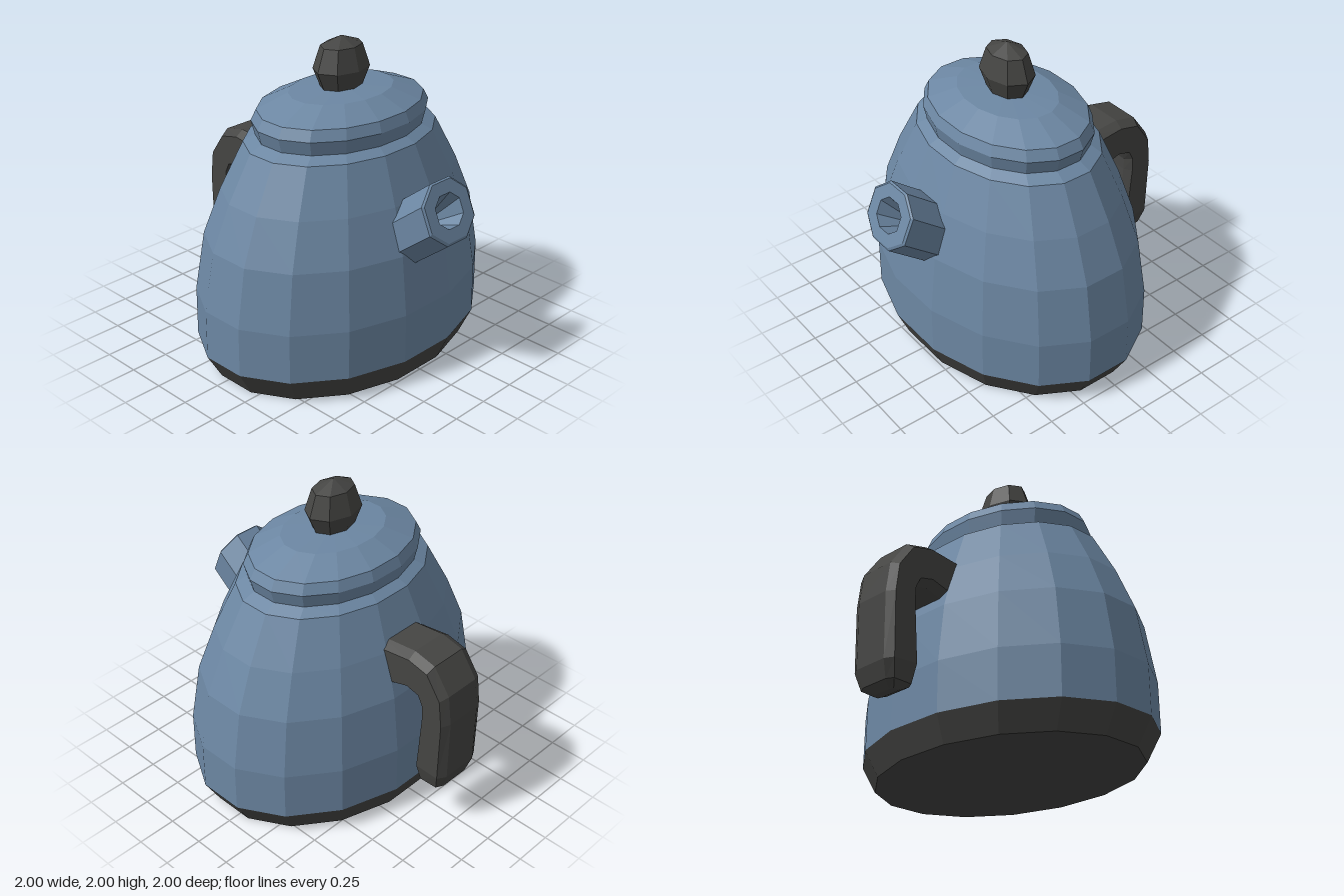
import * as THREE from 'three';

const blue = new THREE.MeshStandardMaterial({ color: 0x6c87a3, flatShading: true });
const dark = new THREE.MeshStandardMaterial({ color: 0x454543, flatShading: true });
const CX = 0.065; // centre of the oval pot

function addMesh(group, name, geometry, material) {
  const mesh = new THREE.Mesh(geometry, material);
  mesh.name = name;
  group.add(mesh);
  return mesh;
}

// Oval turned part: profile of [radius, height], then squashed in x
function oval(profile, sides, phi, sx, sz) {
  const pts = profile.map(([r, y]) => new THREE.Vector2(r, y));
  return new THREE.LatheGeometry(pts, sides, phi).scale(sx, 1, sz).translate(CX, 0, 0);
}

// Skin over equal rings of points (counter-clockwise about the path), closed at the far end
function loft(rings) {
  const n = rings[0].length, pos = rings.flat(2), index = [];
  for (let i = 0; i < rings.length - 1; i++) {
    for (let j = 0; j < n; j++) {
      const a = i * n + j, b = i * n + (j + 1) % n;
      index.push(a, b, b + n, a, b + n, a + n);
    }
  }
  const last = rings[rings.length - 1], start = (rings.length - 1) * n;
  pos.push(...[0, 1, 2].map(k => last.reduce((s, p) => s + p[k], 0) / n));
  for (let j = 0; j < n; j++) index.push(start + j, start + (j + 1) % n, rings.length * n);
  const g = new THREE.BufferGeometry();
  g.setAttribute('position', new THREE.Float32BufferAttribute(pos, 3));
  g.setIndex(index);
  g.computeVertexNormals();
  return g;
}

// Chamfered section in units of half height and half width
function octagon(cu, cv) {
  return [[1, -cv], [1, cv], [cu, 1], [-cu, 1], [-1, cv], [-1, -cv], [-cu, -1], [cu, -1]];
}

export function createModel() {
  const group = new THREE.Group();
  group.name = 'teapot';

  // Sixteen-sided oval pot, with flats facing the axes
  const k = 1 / Math.cos(Math.PI / 16);
  const pot = profile => oval(profile, 16, Math.PI / 16, 0.735 * k, k);
  addMesh(group, 'base', pot([[0, 0], [0.905, 0], [1, 0.165]]), dark);
  addMesh(group, 'body', pot([
    [1, 0.165], [0.997, 0.48], [0.93, 0.85], [0.81, 1.13], [0.655, 1.41], [0.57, 1.45], [0, 1.45],
  ]), blue);
  addMesh(group, 'lid', pot([
    [0.575, 1.445], [0.6, 1.535], [0.565, 1.6], [0.355, 1.68], [0, 1.7],
  ]), blue);

  // Faceted knob
  addMesh(group, 'knob', oval([
    [0, 1.67], [0.72, 1.68], [1, 1.805], [0.74, 1.945], [0, 2],
  ], 8, 0, 0.145, 0.197), dark);

  // Handle: outer x, y, inner x, y, half width
  const handleSections = [
    [-0.45, 1.19, -0.45, 0.87, 0.175],
    [-0.71, 1.215, -0.7, 0.95, 0.175],
    [-0.86, 1.18, -0.78, 0.93, 0.175],
    [-0.975, 1.02, -0.8, 0.88, 0.175],
    [-1, 0.83, -0.8, 0.8, 0.175],
    [-0.995, 0.42, -0.77, 0.43, 0.175],
    [-0.96, 0.315, -0.79, 0.31, 0.145],
    [-0.9, 0.28, -0.85, 0.28, 0.09],
  ];
  addMesh(group, 'handle', loft(handleSections.map(([ox, oy, ix, iy, w]) =>
    octagon(0.72, 0.68).map(([u, v]) => [
      (ox + ix) / 2 + u * (ox - ix) / 2,
      (oy + iy) / 2 + u * (oy - iy) / 2,
      -v * w,
    ]))), dark);

  // Spout: distance along its axis and scale, turning inwards into a tapered hole
  const spoutSections = [[-0.45, 1], [-0.01, 1], [0, 0.93], [0, 0.53], [-0.16, 0.22]];
  addMesh(group, 'spout', loft(spoutSections.map(([d, s]) =>
    octagon(0.46, 0.42).map(([u, v]) => [
      0.932 + 0.78 * d - 0.075 * u * s,
      1.147 + 0.62 * d + 0.172 * u * s,
      0.2 * v * s,
    ]))), blue);

  return group;
}
